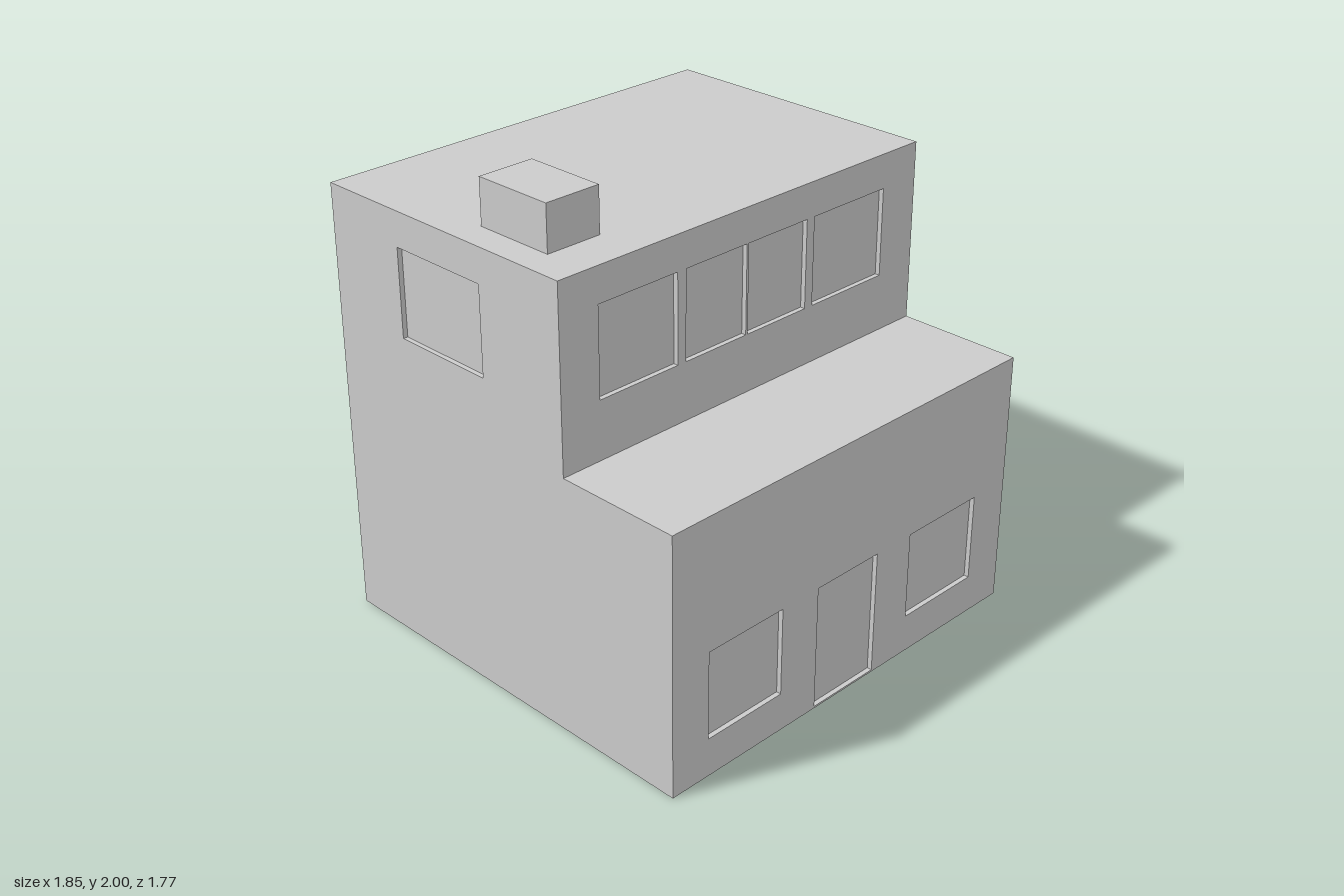
import * as THREE from 'three';

const W = 0.923, D = 0.884;          // half width, half depth
const STEP_Z = 0.355, STEP_Y = 1.075, TOP = 1.815;
const RECESS = 0.02;
const material = new THREE.MeshStandardMaterial({ color: 0xcccccc });

function add(parent, name, geometry) {
  const mesh = new THREE.Mesh(geometry, material);
  mesh.name = name;
  parent.add(mesh);
  return mesh;
}

// Outline of a rectangle as points
const rect = (x0, x1, y0, y1) => [[x0, y0], [x1, y0], [x1, y1], [x0, y1]].map(p => new THREE.Vector2(...p));

// Shallow recess: an inward-facing box without its front
function recessGeometry(w, h) {
  const g = new THREE.BoxGeometry(w, h, RECESS);
  const index = Array.from(g.index.array);
  index.splice(24, 6);
  g.setIndex(index.reverse());
  g.clearGroups();
  g.computeVertexNormals();
  return g;
}

// Flat wall facing local +z, with recessed openings [name, x0, x1, y0, y1]
function wall(parent, name, outline, openings = []) {
  const group = new THREE.Group();
  group.name = name;
  const shape = new THREE.Shape(outline);
  for (const [part, x0, x1, y0, y1] of openings) {
    shape.holes.push(new THREE.Path(rect(x0, x1, y0, y1)));
    add(group, part, recessGeometry(x1 - x0, y1 - y0))
      .position.set((x0 + x1) / 2, (y0 + y1) / 2, -RECESS / 2);
  }
  add(group, name + 'Surface', new THREE.ShapeGeometry(shape));
  parent.add(group);
  return group;
}

export function createModel() {
  const house = new THREE.Group();
  house.name = 'house';

  // Ground floor front with door and two windows
  wall(house, 'lowerFrontWall', rect(-W, W, 0, STEP_Y), [
    ['window', -0.745, -0.37, 0.162, 0.53],
    ['door', -0.18, 0.15, 0.008, 0.53],
    ['window', 0.343, 0.737, 0.162, 0.53],
  ]).position.z = D;

  // Set-back upper front with a row of windows
  const upperWindows = [[-0.745, -0.37], [-0.328, -0.02], [-0.01, 0.302], [0.343, 0.737]];
  wall(house, 'upperFrontWall', rect(-W, W, STEP_Y, TOP),
    upperWindows.map(([x0, x1]) => ['window', x0, x1, 1.312, 1.673])).position.z = STEP_Z;

  // Stepped side walls, mirrored
  for (const s of [1, -1]) {
    const outline = [[-D, 0], [D, 0], [D, TOP], [-STEP_Z, TOP], [-STEP_Z, STEP_Y], [-D, STEP_Y]]
      .map(([u, y]) => new THREE.Vector2(s * u, y));
    const [u0, u1] = [s * 0.055, s * 0.505].sort((a, b) => a - b);
    const side = wall(house, s > 0 ? 'leftWall' : 'rightWall', outline, [['window', u0, u1, 1.312, 1.673]]);
    side.rotation.y = s * Math.PI / 2;
    side.position.x = s * W;
  }

  // Plain back wall
  const back = wall(house, 'backWall', rect(-W, W, 0, TOP));
  back.rotation.y = Math.PI;
  back.position.z = -D;

  // Flat roofs and floor: [name, z0, z1, y, direction]
  for (const [name, z0, z1, y, dir] of [
    ['mainRoof', -D, STEP_Z, TOP, 1],
    ['lowerRoof', STEP_Z, D, STEP_Y, 1],
    ['floor', -D, D, 0, -1],
  ]) {
    const slab = add(house, name, new THREE.PlaneGeometry(2 * W, z1 - z0));
    slab.rotation.x = -dir * Math.PI / 2;
    slab.position.set(0, y, (z0 + z1) / 2);
  }

  // Chimney
  add(house, 'chimney', new THREE.BoxGeometry(0.24, 2 - TOP, 0.345))
    .position.set(-0.681, (2 + TOP) / 2, -0.003);

  return house;
}
